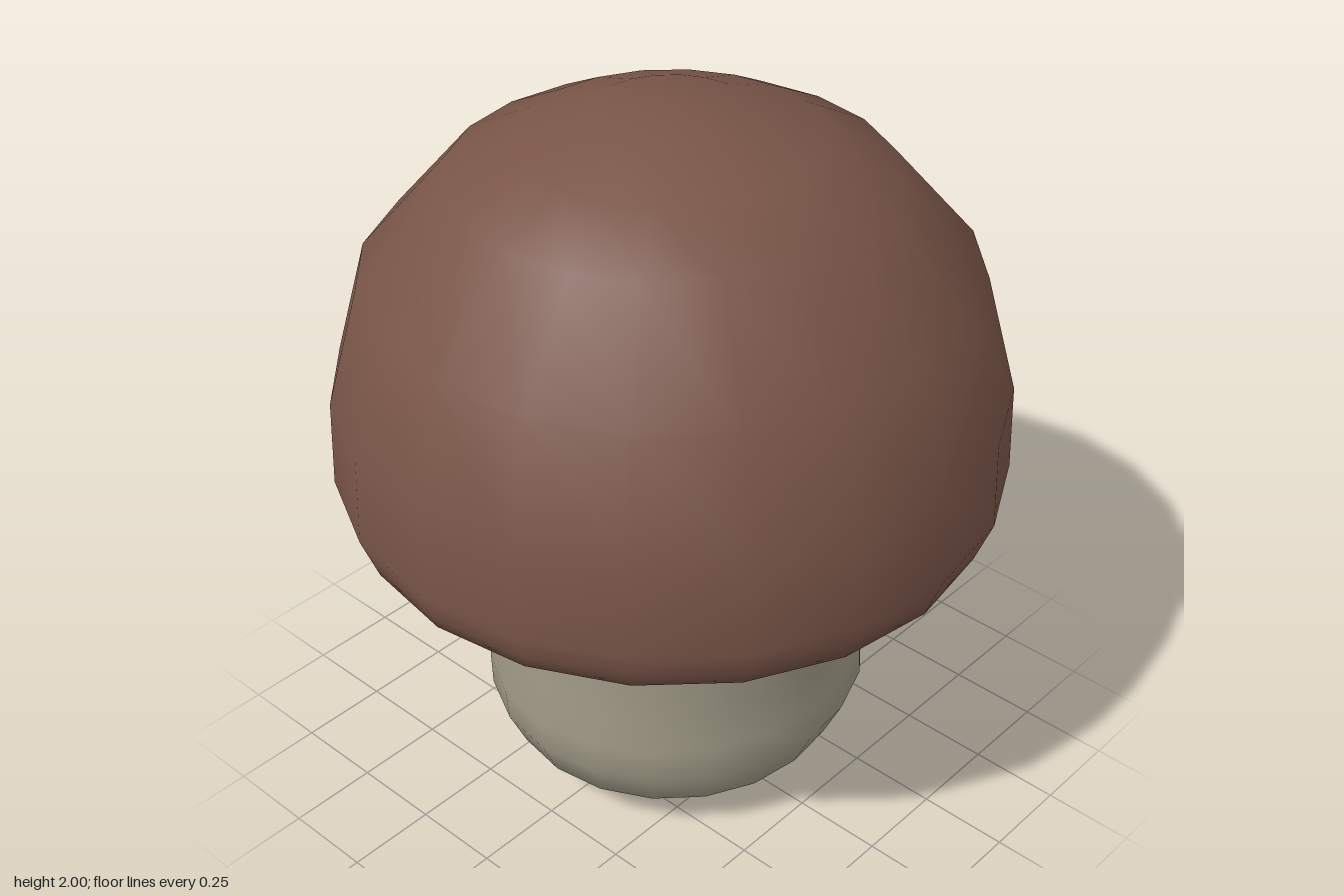
import * as THREE from 'three';
import { mergeVertices } from 'three/addons/utils/BufferGeometryUtils.js';

const SIDES = 20;

// Lathe a [radius, y] profile (bottom to top), optionally reshape it, and smooth across the seam
function turned(profile, reshape) {
  let geo = new THREE.LatheGeometry(profile.map(([r, y]) => new THREE.Vector2(r, y)), SIDES);
  if (reshape) reshape(geo.attributes.position);
  geo.deleteAttribute('uv');
  geo.deleteAttribute('normal');
  geo = mergeVertices(geo, 1e-4);
  geo.computeVertexNormals();
  return geo;
}

function part(name, geometry, color) {
  const mesh = new THREE.Mesh(geometry, new THREE.MeshStandardMaterial({ color }));
  mesh.name = name;
  return mesh;
}

// Domed cap with a slightly hollow underside and a rolled-in rim
function makeCap() {
  return part('cap', turned([
    [0, 0.95], [0.5, 0.94], [0.8, 0.89], [0.855, 0.88], [0.87, 0.92], [0.9, 1.0], [0.89, 1.24],
    [0.8, 1.56], [0.57, 1.82], [0.39, 1.91], [0.2, 1.98], [0, 2.0],
  ]), 0x795548);
}

// Stem rings: [y, side radius, front reach, back reach]; the back bulges near the foot
function makeStem() {
  const rings = [
    [0, 0, 0, 0], [0.01, 0.13, 0.11, 0.15], [0.05, 0.29, 0.29, 0.31], [0.14, 0.465, 0.47, 0.54],
    [0.25, 0.515, 0.52, 0.595], [0.35, 0.505, 0.53, 0.6], [0.48, 0.5, 0.52, 0.557],
    [0.59, 0.51, 0.52, 0.52], [0.75, 0.515, 0.52, 0.52], [1.0, 0.515, 0.52, 0.52],
  ];
  const geo = turned(rings.map(([y, r]) => [r, y]), (pos) => {
    for (let i = 0; i < pos.count; i++) {
      const [, r, front, back] = rings[i % rings.length];
      if (r === 0) continue;
      const s = pos.getX(i) / r, c = pos.getZ(i) / r;
      const reach = r + ((c > 0 ? front : back) - r) * c * c;
      pos.setX(i, s * reach);
      pos.setZ(i, c * reach);
    }
  });
  return part('stem', geo, 0xa09a86);
}

export function createModel() {
  const mushroom = new THREE.Group();
  mushroom.name = 'mushroom';
  mushroom.add(makeCap(), makeStem());
  return mushroom;
}
